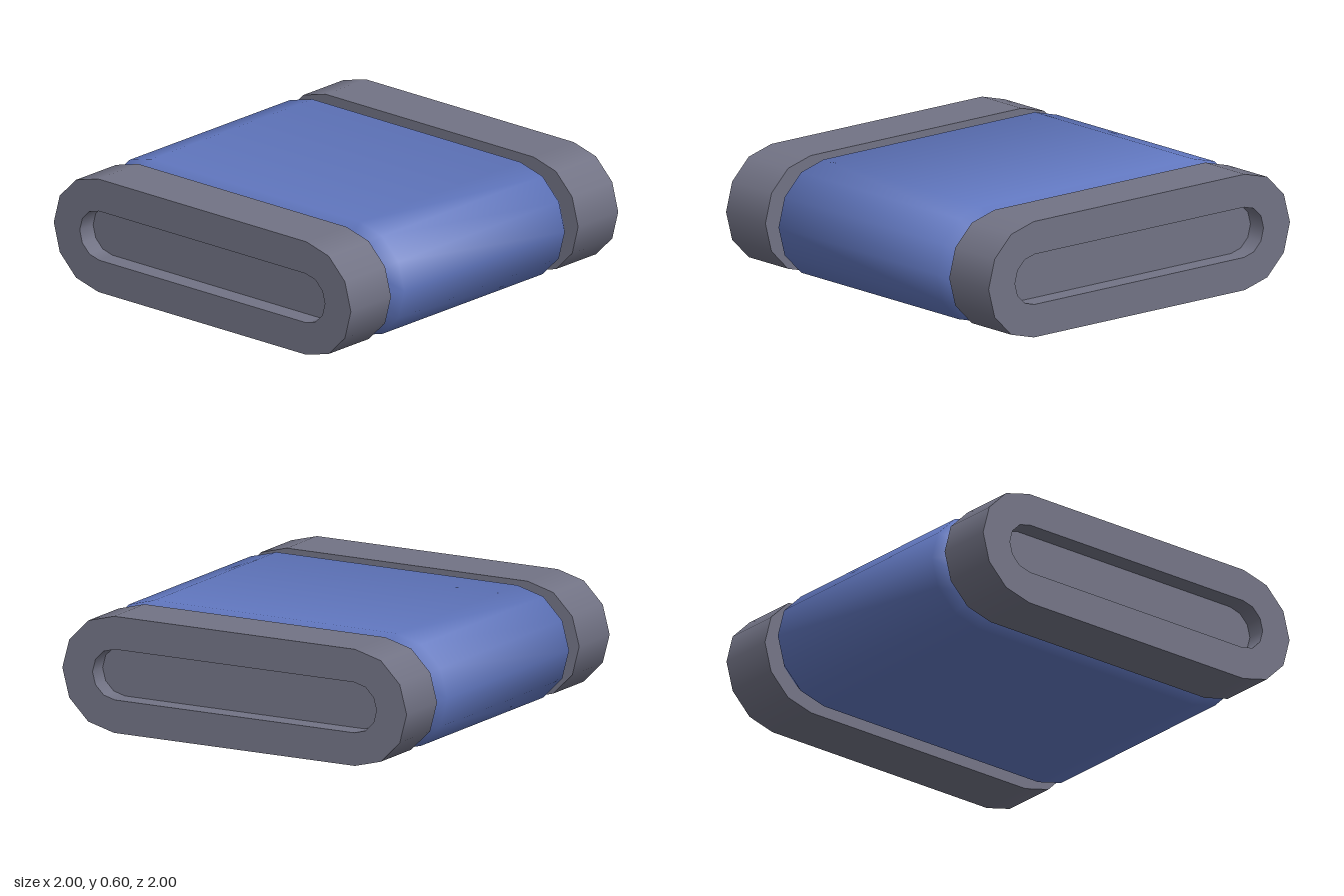
import * as THREE from 'three';

const STEPS = 6; // segments per rounded end
const MID_Y = 0.3;

// Counter-clockwise outline of a rounded slot: half = half length of the straight part
function outline(half, r) {
  const pts = [];
  for (const side of [1, -1]) {
    for (let i = 0; i <= STEPS; i++) {
      const a = -Math.PI / 2 + (i / STEPS) * Math.PI + (side < 0 ? Math.PI : 0);
      pts.push({ x: side * half + r * Math.cos(a), y: r * Math.sin(a), a });
    }
  }
  return pts;
}

// Smooth wall through sections { z, half, r, tilt }, tilt leaning the normals along z
function wall(sections, inward = false) {
  const pos = [], nor = [], idx = [];
  const n = 2 * (STEPS + 1);
  const s = inward ? -1 : 1;
  sections.forEach(({ z, half, r, tilt = 0 }, k) => {
    for (const p of outline(half, r)) {
      pos.push(p.x, p.y, z);
      nor.push(s * Math.cos(p.a) * Math.cos(tilt), s * Math.sin(p.a) * Math.cos(tilt), Math.sin(tilt));
    }
    if (k === 0) return;
    for (let i = 0; i < n; i++) {
      const a = (k - 1) * n + i, b = (k - 1) * n + ((i + 1) % n);
      const c = b + n, d = a + n;
      if (inward) idx.push(a, c, b, a, d, c);
      else idx.push(a, b, c, a, c, d);
    }
  });
  const g = new THREE.BufferGeometry();
  g.setAttribute('position', new THREE.Float32BufferAttribute(pos, 3));
  g.setAttribute('normal', new THREE.Float32BufferAttribute(nor, 3));
  g.setIndex(idx);
  return g;
}

// Flat face in the shape of a rounded slot, optionally with a slot-shaped hole
function face(z, size, hole) {
  const toShape = ([half, r]) => outline(half, r).map((p) => new THREE.Vector2(p.x, p.y));
  const shape = new THREE.Shape(toShape(size));
  if (hole) shape.holes.push(new THREE.Path(toShape(hole)));
  return new THREE.ShapeGeometry(shape).translate(0, 0, z);
}

export function createModel() {
  const model = new THREE.Group();
  model.name = 'capsuleCase';

  const blue = new THREE.MeshStandardMaterial({ color: 0x6076be });
  blue.name = 'blue';
  const grey = new THREE.MeshStandardMaterial({ color: 0x727385 });
  grey.name = 'grey';

  const add = (parent, name, geometry, material) => {
    const mesh = new THREE.Mesh(geometry, material);
    mesh.name = name;
    parent.add(mesh);
    return mesh;
  };

  // Body with softened, chamfered ends
  const deg = Math.PI / 180;
  const body = add(model, 'body', wall([
    { z: -0.7, half: 0.7, r: 0.2, tilt: -67.5 * deg },
    { z: -0.6, half: 0.7, r: 0.3, tilt: -22.5 * deg },
    { z: 0.6, half: 0.7, r: 0.3, tilt: 22.5 * deg },
    { z: 0.7, half: 0.7, r: 0.2, tilt: 67.5 * deg },
  ]), blue);
  body.position.y = MID_Y;

  // End caps, each with a recessed slot
  const rim = [0.7, 0.3];
  const slot = [0.695, 0.13];
  const floorZ = 0.9;
  for (const [name, turn] of [['frontCap', 0], ['backCap', Math.PI]]) {
    const cap = new THREE.Group();
    cap.name = name;
    add(cap, 'capSide', wall([
      { z: 0.7, half: rim[0], r: rim[1] },
      { z: 1, half: rim[0], r: rim[1] },
    ]), grey);
    add(cap, 'capFace', face(1, rim, slot), grey);
    add(cap, 'slotWall', wall([
      { z: floorZ, half: slot[0], r: slot[1] },
      { z: 1, half: slot[0], r: slot[1] },
    ], true), grey);
    add(cap, 'slotFloor', face(floorZ, slot), grey);
    const inner = add(cap, 'capInnerFace', face(-0.7, rim), grey);
    inner.rotation.y = Math.PI;
    cap.rotation.y = turn;
    cap.position.y = MID_Y;
    model.add(cap);
  }
  return model;
}
